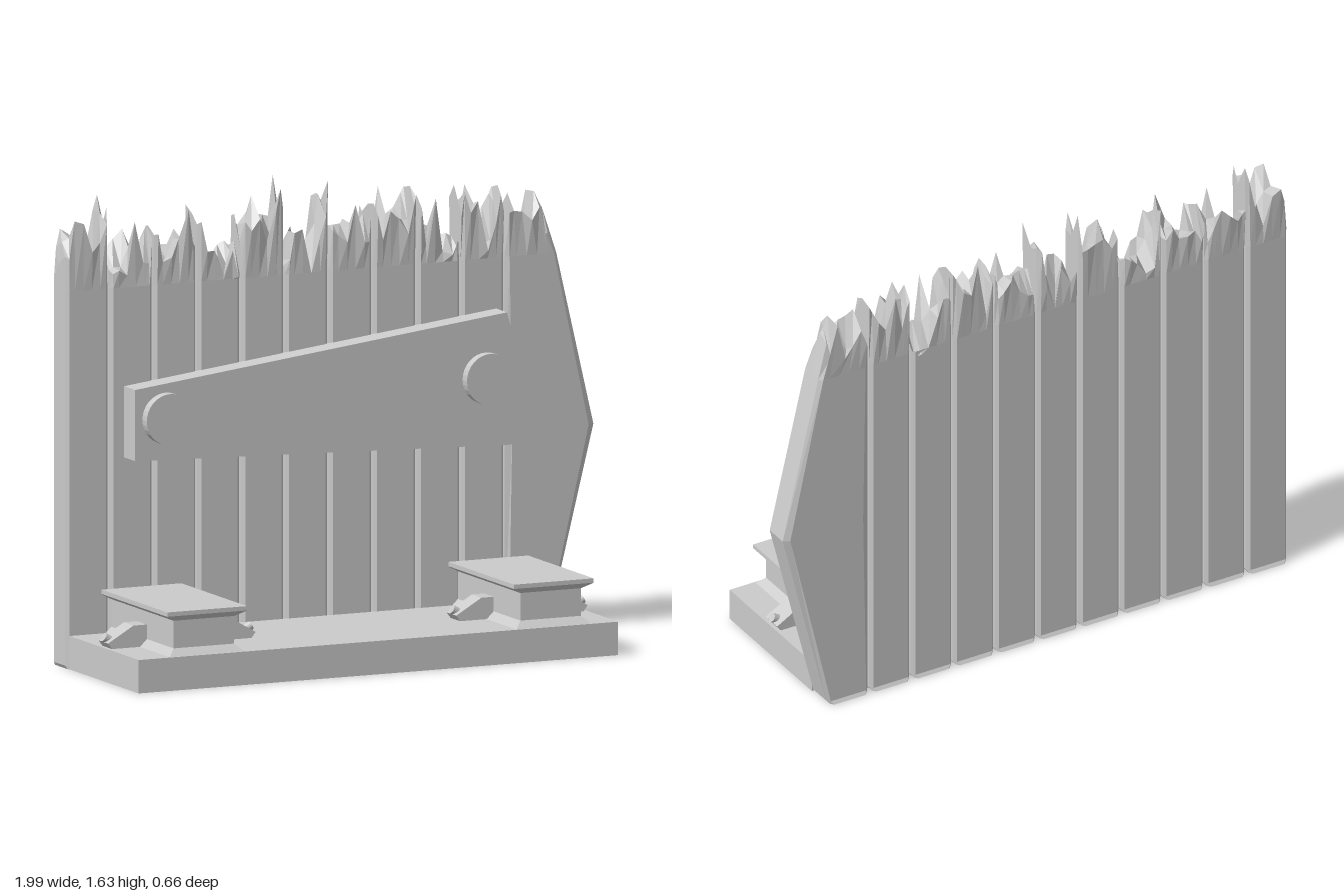
import * as THREE from 'three';

const material = new THREE.MeshStandardMaterial({ color: 0xcccccc, flatShading: true });

let seed = 11;
const rnd = () => (seed = (seed * 16807) % 2147483647) / 2147483647;

function mesh(name, geometry) {
  const m = new THREE.Mesh(geometry, material);
  m.name = name;
  return m;
}

// Triangles collected as corner points
function surface() {
  const p = [];
  const tri = (a, b, c) => p.push(...a, ...b, ...c);
  const quad = (a, b, c, d) => { tri(a, b, c); tri(a, c, d); };
  const build = () => {
    const g = new THREE.BufferGeometry();
    g.setAttribute('position', new THREE.Float32BufferAttribute(p, 3));
    g.computeVertexNormals();
    return g;
  };
  return { tri, quad, build };
}

// Walls joining stacked closed rings, plus a flat bottom
function loft(s, rings) {
  const n = rings[0].length;
  for (let r = 0; r + 1 < rings.length; r++) {
    for (let i = 0; i < n; i++) {
      const j = (i + 1) % n;
      s.quad(rings[r][i], rings[r][j], rings[r + 1][j], rings[r + 1][i]);
    }
  }
  for (let i = 1; i + 1 < n; i++) s.tri(rings[0][0], rings[0][i + 1], rings[0][i]);
}

function extrude(points, depth) {
  const shape = new THREE.Shape(points.map(([x, y]) => new THREE.Vector2(x, y)));
  return new THREE.ExtrudeGeometry(shape, { depth, bevelEnabled: false });
}

// Splintered top heights, evenly spaced across each plank
const ridges = [
  [1.42, 1.54, 1.53, 1.43, 1.46, 1.61],
  [1.45, 1.42, 1.45, 1.52, 1.43, 1.50],
  [1.50, 1.43, 1.42, 1.45, 1.55, 1.45],
  [1.55, 1.42, 1.40, 1.37, 1.40, 1.42],
  [1.51, 1.48, 1.57, 1.50, 1.53, 1.63],
  [1.42, 1.44, 1.45, 1.40, 1.46, 1.61],
  [1.45, 1.45, 1.45, 1.52, 1.44, 1.50],
  [1.52, 1.40, 1.56, 1.46, 1.48, 1.56],
  [1.54, 1.47, 1.52, 1.38, 1.39, 1.37],
  [1.55, 1.50, 1.54, 1.42, 1.46, 1.54],
  [1.42, 1.51, 1.45, 1.42, 1.51, 1.45],
];
const columns = [0, 0.07, 0.2, 0.4, 0.6, 0.8, 0.93, 1];
const FRONT = -0.212, BACK = -0.322, MID = -0.267, CHAMFER = 0.012;

function plankGeometry(index) {
  const pitch = 1.82 / 11, left = -1 + index * pitch + 0.003;
  const last = index === 10;
  // The outer plank swells to a point on its free side
  const bulge = (y) => (last ? 0.175 * Math.max(0, y < 0.7 ? y / 0.7 : (1.45 - y) / 0.75) : 0);
  const x = (u, y) => left + u * (pitch - 0.006 + bulge(y));
  const depth = (u, row) => {
    const inset = u === 0 || u === 1 ? CHAMFER : 0;
    return [FRONT - inset, MID, BACK + inset][row];
  };
  const ringOf = (rows) => [...rows[0], rows[1].at(-1), ...[...rows[2]].reverse(), rows[1][0]];
  const flat = (y, inset) => ringOf([0, 1, 2].map((row) => columns.map((u) =>
    [x(u, y) + (0.5 - u) * 2 * inset, y, depth(u, row) + (row - 1) * -inset])));

  // One of the three rows reaches the ridge height, the others break lower
  const top = [[], [], []];
  for (const u of columns) {
    const k = Math.min(4, Math.floor(u * 5));
    const h = THREE.MathUtils.lerp(ridges[index][k], ridges[index][k + 1], u * 5 - k);
    const peak = Math.floor(rnd() * 3);
    for (let row = 0; row < 3; row++) {
      const y = row === peak ? h : h - 0.11 * rnd();
      top[row].push([x(u, 1.45), y, depth(u, row) + (rnd() - 0.5) * 0.02]);
    }
  }
  const s = surface();
  const rings = [flat(0, 0.008), flat(0.012, 0)];
  if (last) rings.push(flat(0.7, 0));
  rings.push(flat(1.3, 0), ringOf(top));
  loft(s, rings);
  for (let row = 0; row < 2; row++) {
    for (let i = 0; i + 1 < columns.length; i++) {
      s.quad(top[row][i], top[row][i + 1], top[row + 1][i + 1], top[row + 1][i]);
    }
  }
  return s.build();
}

// Flared block with an overhanging cap: height, half width, front z
function postGeometry(cx) {
  const sections = [
    [0.115, 0.14, 0.325], [0.14, 0.114, 0.3], [0.235, 0.114, 0.3],
    [0.252, 0.147, 0.32], [0.255, 0.15, 0.325], [0.27, 0.15, 0.325],
  ];
  const rings = sections.map(([y, w, z]) =>
    [[cx - w, y, z], [cx + w, y, z], [cx + w, y, -0.19], [cx - w, y, -0.19]]);
  const s = surface();
  loft(s, rings);
  s.quad(...rings.at(-1));
  return s.build();
}

// Sloped foot with a pin, its tip pointing along side
function bracket(tip, side) {
  const g = new THREE.Group();
  g.name = 'bracket';
  const foot = mesh('bracketFoot', extrude(
    [[-0.19, 0.115], [-0.015, 0.115], [0, 0.135], [-0.095, 0.19], [-0.19, 0.19]], 0.075));
  foot.position.z = 0.015;
  const pin = mesh('bracketPin', new THREE.CylinderGeometry(0.016, 0.016, 0.04, 16));
  pin.position.set(-0.018, 0.142, 0.0525);
  pin.rotation.z = -Math.PI / 3;
  g.add(foot, pin);
  g.position.x = tip;
  if (side < 0) {
    g.rotation.y = Math.PI;
    g.position.z = 0.105;
  }
  return g;
}

export function createModel() {
  const model = new THREE.Group();
  model.name = 'plankBarrier';

  // Broken plank wall
  const wall = new THREE.Group();
  wall.name = 'plankWall';
  for (let i = 0; i < 11; i++) wall.add(mesh('plank', plankGeometry(i)));
  model.add(wall);

  // Base slab
  const base = mesh('base', new THREE.BoxGeometry(1.805, 0.115, 0.545));
  base.position.set(-0.0825, 0.0575, 0.0575);
  model.add(base);

  // Capped posts, each with a bracket on either side
  for (const [cx, a, b] of [[-0.725, -0.985, -0.43], [0.58, 0.325, 0.82]]) {
    model.add(mesh('post', postGeometry(cx)), bracket(a, -1), bracket(b, 1));
  }

  // Cross board and its two round bolts
  const board = mesh('crossBoard', extrude(
    [[-0.78, 0.715], [0.74, 0.665], [0.62, 1.125], [-0.78, 0.96]], 0.092));
  board.position.z = -0.217;
  model.add(board);
  for (const [x, y] of [[-0.665, 0.855], [0.54, 0.905]]) {
    const bolt = mesh('bolt', new THREE.CylinderGeometry(0.088, 0.088, 0.045, 32));
    bolt.rotation.x = Math.PI / 2;
    bolt.position.set(x, y, -0.1125);
    model.add(bolt);
  }
  return model;
}
